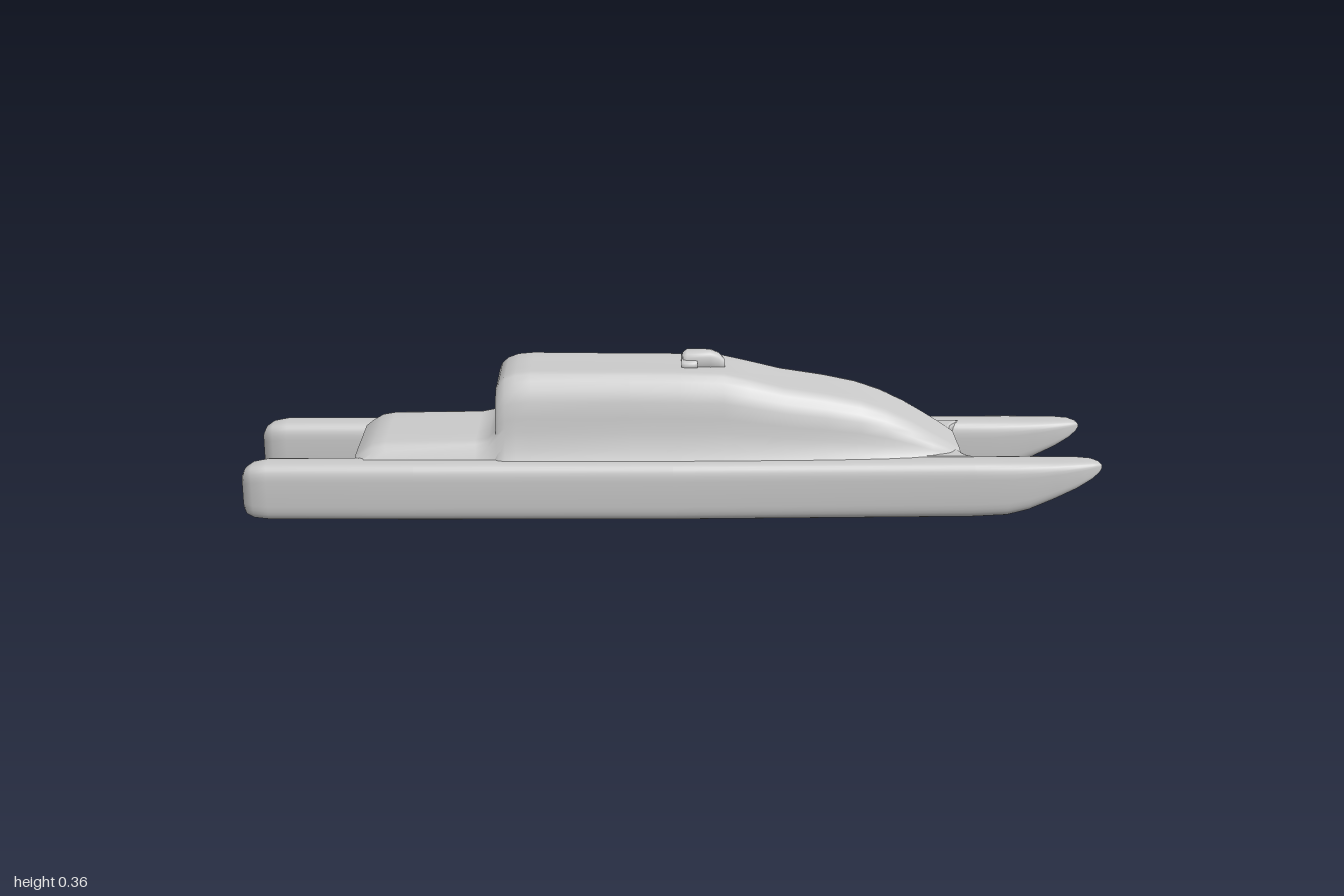
import * as THREE from 'three';

const material = new THREE.MeshStandardMaterial({ color: 0xcccccc, side: THREE.DoubleSide });

// Skins rings of [y, z] points placed along x; inset pushes the rear cap's middle inwards.
function loft(name, sections, inset = 0) {
  const n = sections[0].ring.length;
  const pos = [], idx = [];
  for (const { x, ring } of sections) for (const [y, z] of ring) pos.push(x, y, z);
  for (let s = 0; s < sections.length - 1; s++) {
    for (let i = 0; i < n; i++) {
      const a = s * n + i, b = s * n + (i + 1) % n;
      idx.push(a, a + n, b, b, a + n, b + n);
    }
  }
  // End caps with their own vertices so the rims stay crisp
  [sections[0], sections[sections.length - 1]].forEach(({ x, ring }, end) => {
    const c = pos.length / 3;
    const my = ring.reduce((t, p) => t + p[0], 0) / n;
    const mz = ring.reduce((t, p) => t + p[1], 0) / n;
    pos.push(x + (end ? 0 : inset), my, mz);
    for (const [y, z] of ring) pos.push(x, y, z);
    for (let i = 0; i < n; i++) {
      const a = c + 1 + i, b = c + 1 + (i + 1) % n;
      if (end) idx.push(c, b, a); else idx.push(c, a, b);
    }
  });
  const g = new THREE.BufferGeometry();
  g.setAttribute('position', new THREE.Float32BufferAttribute(pos, 3));
  g.setIndex(idx);
  g.computeVertexNormals();
  const mesh = new THREE.Mesh(g, material);
  mesh.name = name;
  return mesh;
}

// Rounded-box ring between y0 and y1, half width w, centred on z = cz
function roundRing(y0, y1, w, cz, power = 4, n = 32) {
  const ring = [];
  for (let i = 0; i < n; i++) {
    const a = (i / n) * Math.PI * 2, c = Math.cos(a), s = Math.sin(a);
    const k = (v) => Math.sign(v) * Math.abs(v) ** (2 / power);
    ring.push([(y0 + y1) / 2 + k(c) * (y1 - y0) / 2, cz + k(s) * w]);
  }
  return ring;
}

// Mirrors a [z, y] half outline, listed from foot to roof, into a ring
function mirrorRing(half) {
  const right = half.map(([z, y]) => [y, -z]);
  const left = half.map(([z, y]) => [y, z]).reverse();
  return [...right, ...left];
}

function makeHull(side) {
  // x, keel height, deck height, half width
  const stations = [
    [-1, 0.03, 0.11, 0.012], [-0.993, 0.017, 0.125, 0.026], [-0.975, 0.009, 0.137, 0.036],
    [-0.94, 0.006, 0.143, 0.042], [-0.6, 0.004, 0.142, 0.043], [0, 0.002, 0.141, 0.043],
    [0.7, 0.006, 0.141, 0.043], [0.78, 0.01, 0.141, 0.043], [0.83, 0.023, 0.141, 0.042],
    [0.89, 0.05, 0.14, 0.04], [0.94, 0.075, 0.14, 0.036], [0.975, 0.096, 0.138, 0.027],
    [0.993, 0.11, 0.133, 0.016], [1, 0.118, 0.127, 0.006],
  ];
  return loft(side > 0 ? 'frontHull' : 'rearHull',
    stations.map(([x, y0, y1, w]) => ({ x, ring: roundRing(y0, y1, w, side * 0.146) })));
}

// Bridge platform with scooped ends, seen in plan
function makePlatform() {
  const s = new THREE.Shape();
  s.moveTo(-0.745, -0.13);
  s.lineTo(0.71, -0.13);
  s.quadraticCurveTo(0.675, -0.105, 0.675, -0.07);
  s.lineTo(0.675, 0.07);
  s.quadraticCurveTo(0.675, 0.105, 0.71, 0.13);
  s.lineTo(-0.745, 0.13);
  s.quadraticCurveTo(-0.715, 0.105, -0.715, 0.07);
  s.lineTo(-0.715, -0.07);
  s.quadraticCurveTo(-0.715, -0.105, -0.745, -0.13);
  const g = new THREE.ExtrudeGeometry(s, {
    depth: 0.034, bevelEnabled: true, bevelSize: 0.008, bevelOffset: -0.008,
    bevelThickness: 0.008, bevelSegments: 2, curveSegments: 8,
  });
  g.rotateX(-Math.PI / 2).translate(0, 0.1, 0);
  const mesh = new THREE.Mesh(g, material);
  mesh.name = 'bridgePlatform';
  return mesh;
}

// Curved gusset where the platform underside meets a hull
function makeFillet(side) {
  const s = new THREE.Shape();
  s.moveTo(0.08, 0.096);
  s.quadraticCurveTo(0.104, 0.092, 0.105, 0.066);
  s.lineTo(0.12, 0.066);
  s.lineTo(0.12, 0.096);
  const g = new THREE.ExtrudeGeometry(s, { depth: 1.39, bevelEnabled: false, curveSegments: 8 });
  // Shape x runs to -z and depth runs along x
  g.rotateY(Math.PI / 2).translate(-0.715, 0, 0);
  const mesh = new THREE.Mesh(g, material);
  mesh.scale.z = side;
  mesh.name = 'undersideFillet';
  return mesh;
}

function makeAftDeck() {
  const stations = [[-0.742, 0.142], [-0.725, 0.156], [-0.7, 0.171], [-0.67, 0.176],
    [-0.46, 0.178], [-0.43, 0.184], [-0.41, 0.205], [-0.39, 0.23]];
  return loft('aftDeck', stations.map(([x, top]) => ({
    x,
    ring: mirrorRing([[0.15, 0.12], [0.142, 0.138], [0.13, top - 0.016],
      [0.122, top - 0.005], [0.105, top], [0.05, top]]),
  })));
}

function makeCabin() {
  // Half outline as [z, fraction of height]
  const outline = [[0.165, 0], [0.153, 0.1], [0.14, 0.22], [0.13, 0.4], [0.126, 0.55],
    [0.12, 0.72], [0.11, 0.83], [0.098, 0.92], [0.088, 0.98], [0.074, 1], [0.035, 0.99]];
  // x, roof height, width factor
  const stations = [
    [-0.412, 0.295, 0.95], [-0.405, 0.312, 0.98], [-0.39, 0.325, 1], [-0.365, 0.334, 1],
    [-0.33, 0.337, 1], [-0.1, 0.334, 1], [0.02, 0.333, 1], [0.12, 0.329, 1], [0.18, 0.315, 1],
    [0.26, 0.295, 1], [0.36, 0.279, 1], [0.44, 0.262, 0.99], [0.5, 0.241, 0.98],
    [0.56, 0.211, 0.96], [0.61, 0.181, 0.92], [0.65, 0.157, 0.84], [0.68, 0.138, 0.7],
  ];
  return loft('cabin', stations.map(([x, top, w]) => ({
    x,
    ring: mirrorRing(outline.map(([z, f]) => [z * w, 0.118 + f * (top - 0.118)])),
  })), 0.035);
}

// Small sensor pod with a cross arm on the roof
function makeRoofPod() {
  const pod = new THREE.Group();
  pod.name = 'roofPod';
  pod.add(loft('podBody', [[0.025, 0.358, 0.02], [0.035, 0.365, 0.025], [0.09, 0.365, 0.023],
    [0.11, 0.357, 0.019], [0.125, 0.34, 0.014]].map(([x, top, w]) => ({
    x, ring: roundRing(0.315, top, w, 0, 2.6, 16),
  }))));
  pod.add(loft('podArm', [[0.022, 0.035], [0.03, 0.04], [0.052, 0.04], [0.06, 0.035]].map(([x, w]) => ({
    x, ring: roundRing(0.318, 0.349, w, -0.005, 2.4, 16),
  }))));
  return pod;
}

export function createModel() {
  const model = new THREE.Group();
  model.name = 'catamaran';
  for (const side of [1, -1]) model.add(makeHull(side), makeFillet(side));
  model.add(makePlatform(), makeAftDeck(), makeCabin(), makeRoofPod());
  return model;
}
